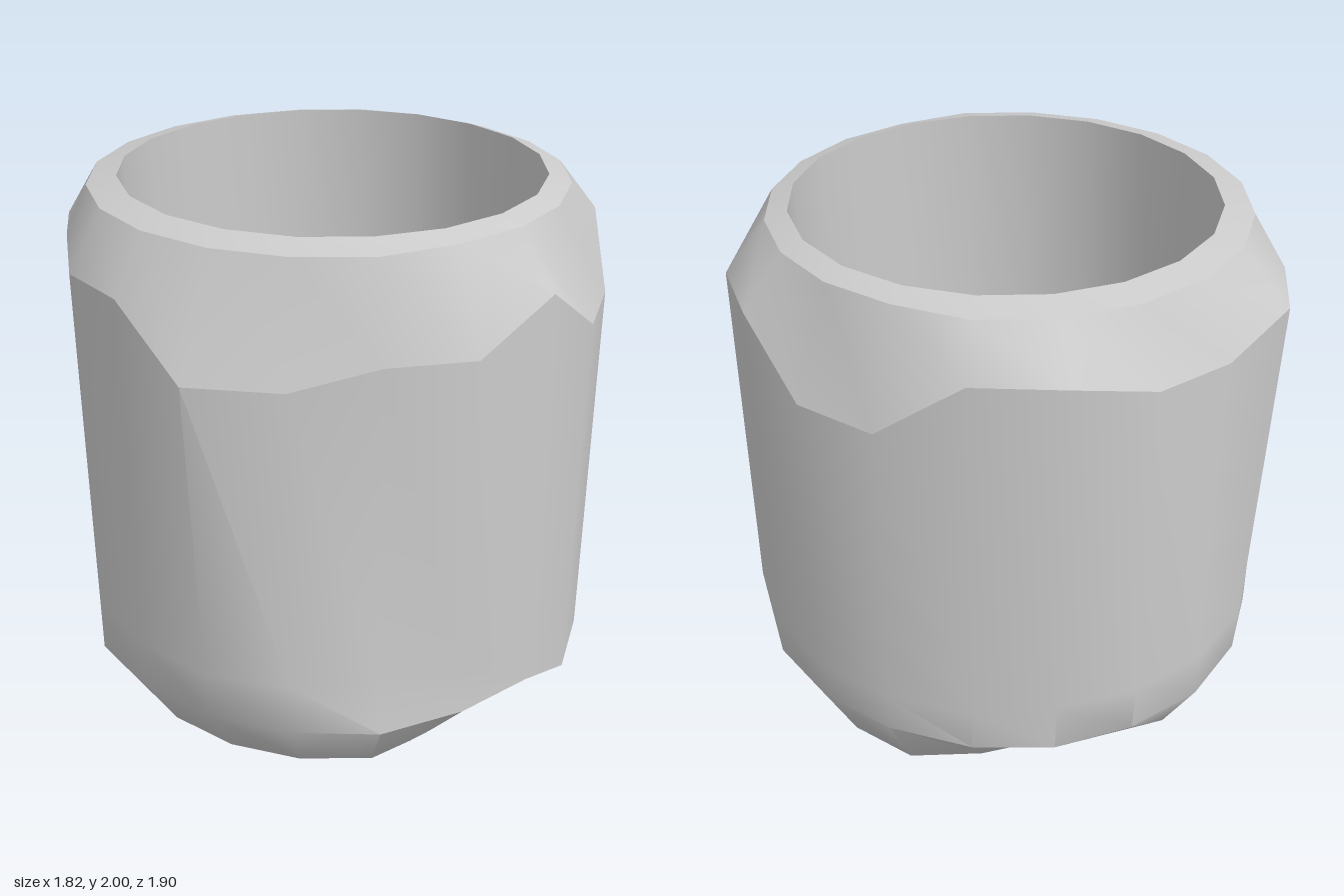
import * as THREE from 'three';
import { toCreasedNormals } from 'three/addons/utils/BufferGeometryUtils.js';

const SIDES = 20;
const CX = -0.02, CZ = 0.02; // axis of the pot

// Irregular carved edges, one value per side, going from +x round through +z
const shoulderY = [1.8, 1.6, 1.6, 1.8, 1.66, 1.66, 1.6, 1.61, 1.79, 1.78,
  1.81, 1.79, 1.8, 1.73, 1.74, 1.83, 1.82, 1.61, 1.61, 1.8];
const heelY = [0.42, 0.25, 0.25, 0.37, 0.37, 0.35, 0.36, 0.36, 0.36, 0.35,
  0.34, 0.36, 0.37, 0.37, 0.36, 0.35, 0.37, 0.4, 0.4, 0.4];
// Sides whose radius departs from the round wall
const shoulderR = { 5: 0.89, 7: 1.0, 10: 0.89, 12: 0.98, 15: 0.97 };
const hipR = { 5: 0.89, 7: 0.945, 10: 0.89, 12: 0.94, 14: 0.92, 15: 0.91, 16: 0.92 };
const heelR = { 0: 0.915, 10: 0.89, 14: 0.91, 15: 0.9, 16: 0.91 };
// Flat cuts under the heel, as [radius, height]
const toe = {
  0: [0.74, 0.09], 1: [0.65, 0.05], 2: [0.7, 0.08], 3: [0.71, 0.14], 4: [0.73, 0.14],
  14: [0.68, 0.1], 15: [0.61, 0.08], 16: [0.68, 0.1],
};

// Outline of one side as [radius, height], from the base up and over into the cavity
function outline(k) {
  const a = (k / SIDES) * Math.PI * 2;
  return [
    [0, 0],
    [0.56 + 0.045 * Math.sin(a), 0],
    toe[k] ?? [0.8, 0.14],
    [heelR[k] ?? 0.93, heelY[k]],
    [hipR[k] ?? 0.93, 0.54],
    [shoulderR[k] ?? 0.93, shoulderY[k]],
    [k > 4 && k < 17 ? 0.815 : 0.79, 1.975],
    [0.715, 2],
    [0.715, 0.22],
    [0, 0.22],
  ];
}

// Joins a range of outline rings into a closed band of triangles
function band(first, last) {
  const pos = [];
  const point = (k, j) => {
    const [r, y] = outline(k % SIDES)[j];
    const a = (k / SIDES) * Math.PI * 2;
    return [CX + r * Math.cos(a), y, CZ + r * Math.sin(a)];
  };
  for (let k = 0; k < SIDES; k++) {
    for (let j = first; j < last; j++) {
      const a = point(k, j), b = point(k + 1, j);
      const c = point(k + 1, j + 1), d = point(k, j + 1);
      if (outline(k)[j][0] > 0) pos.push(...a, ...c, ...b);
      if (outline(k)[j + 1][0] > 0) pos.push(...a, ...d, ...c);
    }
  }
  const geo = new THREE.BufferGeometry();
  geo.setAttribute('position', new THREE.Float32BufferAttribute(pos, 3));
  return toCreasedNormals(geo, 0.7);
}

export function createModel() {
  const group = new THREE.Group();
  group.name = 'carvedPot';
  const material = new THREE.MeshStandardMaterial({ color: 0xcccccc });
  const parts = {
    base: [0, 1], outerWall: [1, 5], shoulder: [5, 6],
    rim: [6, 7], cavityWall: [7, 8], cavityFloor: [8, 9],
  };
  for (const [name, [first, last]] of Object.entries(parts)) {
    const mesh = new THREE.Mesh(band(first, last), material);
    mesh.name = name;
    group.add(mesh);
  }
  return group;
}
